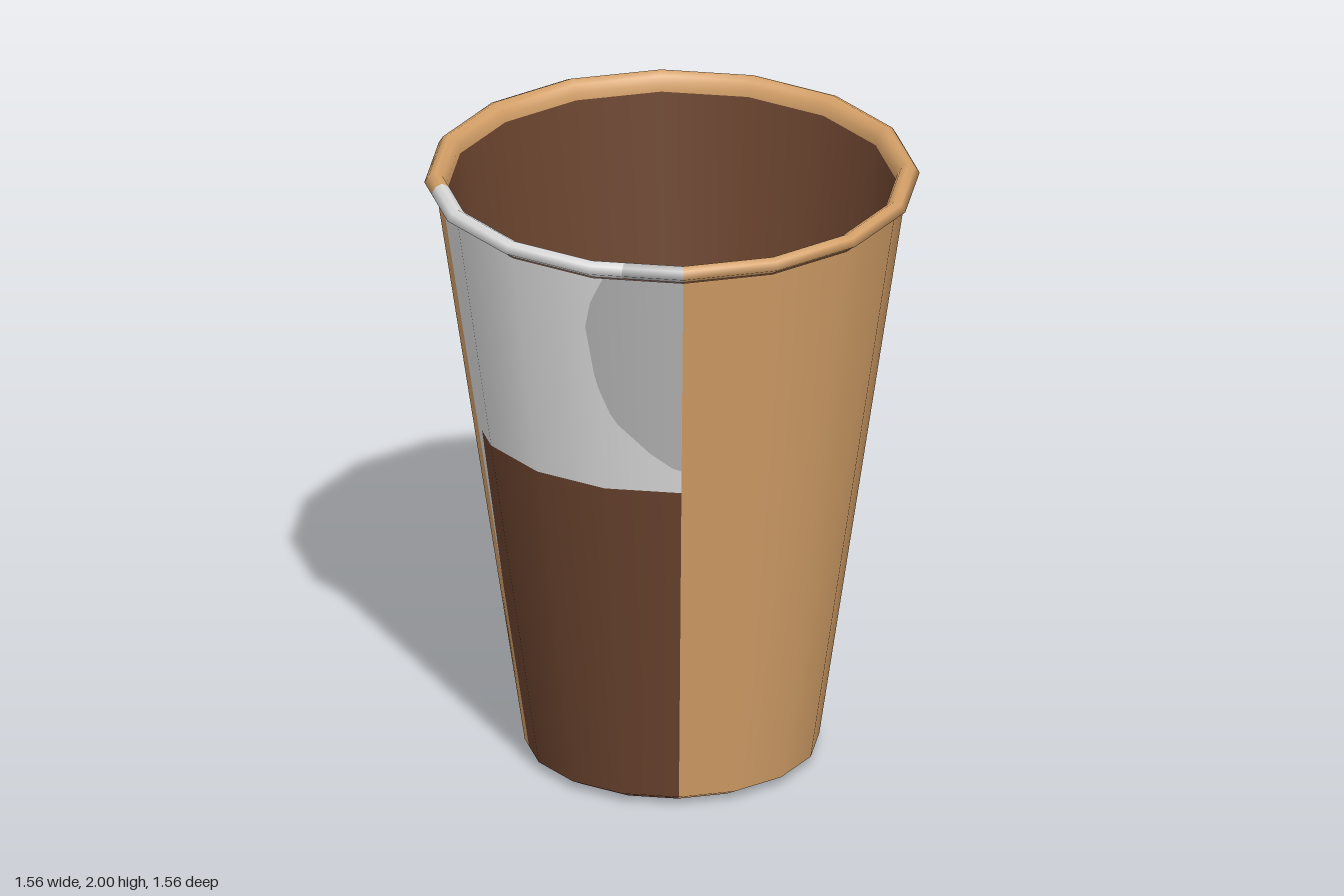
import * as THREE from 'three';

const mat = (name, color, side = THREE.FrontSide) => {
  const m = new THREE.MeshStandardMaterial({ color, side });
  m.name = name;
  return m;
};

const SIDES = 16;
const SEAM = -3.7; // painted panel runs from here to 0, counted in cup sides

// unit direction on the 16-sided outline, s counted in sides from the front
function outline(s) {
  const k = Math.floor(s), t = s - k, step = (Math.PI * 2) / SIDES;
  const a = k * step, b = (k + 1) * step;
  return [
    Math.sin(a) * (1 - t) + Math.sin(b) * t,
    Math.cos(a) * (1 - t) + Math.cos(b) * t,
  ];
}

// columns between two positions, keeping every cup corner and any extra stops
function columns(from, to, extra = []) {
  const set = new Set([from, to]);
  for (let i = Math.ceil(from); i <= to; i++) set.add(i);
  extra.forEach((e) => { if (e > from && e < to) set.add(e); });
  return [...set].sort((a, b) => a - b);
}

// surface through rows; each row is s => [radius, y, normal out, normal up]
function patch(cols, rows) {
  const pos = [], nor = [], idx = [], n = cols.length;
  rows.forEach((row, j) => cols.forEach((s, i) => {
    const [x, z] = outline(s), [r, y, nr, ny] = row(s);
    pos.push(x * r, y, z * r);
    const v = new THREE.Vector3(x * nr, ny, z * nr).normalize();
    nor.push(v.x, v.y, v.z);
    if (i < n - 1 && j < rows.length - 1) {
      const a = j * n + i, b = a + 1, c = b + n, d = a + n;
      idx.push(a, b, c, a, c, d);
    }
  }));
  const g = new THREE.BufferGeometry();
  g.setAttribute('position', new THREE.Float32BufferAttribute(pos, 3));
  g.setAttribute('normal', new THREE.Float32BufferAttribute(nor, 3));
  g.setIndex(idx);
  return g;
}

// rows from a radius/height profile with smooth normals
const profile = (pts) => pts.map(([r, y], i) => {
  const a = pts[Math.max(i - 1, 0)], b = pts[Math.min(i + 1, pts.length - 1)];
  return () => [r, y, b[1] - a[1], a[0] - b[0]];
});

// row lying on the tapered outer wall at height f(s)
const BASE = 0.03, TOP = 1.94;
const wallRow = (f) => (s) => {
  const y = f(s);
  return [0.465 + ((y - BASE) / (TOP - BASE)) * 0.28, y, 0.99, -0.15];
};

// piecewise linear height along s
const line = (pts) => (s) => {
  for (let i = 1; i < pts.length; i++) {
    const [s0, y0] = pts[i - 1], [s1, y1] = pts[i];
    if (s <= s1) return y0 + ((y1 - y0) * Math.max(s - s0, 0)) / (s1 - s0);
  }
  return pts[pts.length - 1][1];
};

export function createModel() {
  const cup = new THREE.Group();
  cup.name = 'cup';
  const tan = mat('tan paper', 0xd4a068);
  const brown = mat('dark brown', 0x6a432e);
  const light = mat('light grey', 0xdcdcdc);
  const dark = mat('mid grey', 0xb6b6b6);
  const add = (name, geometry, material) => {
    const m = new THREE.Mesh(geometry, material);
    m.name = name;
    cup.add(m);
  };

  const panelEnd = SIDES + SEAM;
  const base = () => BASE, top = () => TOP;

  // outer wall
  add('outerWall', patch(columns(0, panelEnd), [wallRow(base), wallRow(top)]), tan);

  // painted panel: brown below, grey above with a darker rounded patch
  const brownTop = line([[SEAM, 0.6], [-3.48, 1.16], [0, 1.16]]);
  const patchLow = [[-1.13, 1.75], [-1.05, 1.58], [-1, 1.53], [-0.88, 1.44],
    [-0.79, 1.4], [-0.4, 1.3], [-0.12, 1.25], [0, 1.24]];
  const patchHigh = [[-1.13, 1.75], [-1.05, 1.84], [-1, 1.87], [-0.88, TOP], [0, TOP]];
  const low = line(patchLow), high = line(patchHigh);
  const stops = patchLow.map((p) => p[0]);
  const patchCols = columns(-1.13, 0, stops);
  add('panelBrown', patch(columns(SEAM, 0, [-3.48]), [wallRow(base), wallRow(brownTop)]), brown);
  add('panelGrey', patch(columns(SEAM, -1.13, [-3.48]), [wallRow(brownTop), wallRow(top)]), light);
  add('panelGreyBelow', patch(patchCols, [wallRow(brownTop), wallRow(low)]), light);
  add('panelGreyAbove', patch(columns(-1.13, -0.88, stops), [wallRow(high), wallRow(top)]), light);
  add('panelPatch', patch(patchCols, [wallRow(low), wallRow(high)]), dark);

  // bevelled foot
  const foot = [() => [0.41, 0, 0.6, -0.8], () => [0.465, BASE, 0.99, -0.2]];
  add('foot', patch(columns(0, panelEnd), foot), tan);
  add('footBrown', patch(columns(SEAM, 0), foot), brown);

  // rolled rim
  const rim = profile([[0.74, 1.94], [0.782, 1.967], [0.768, 1.99], [0.747, 2],
    [0.725, 1.988], [0.712, 1.965], [0.71, 1.94]]);
  add('rim', patch(columns(0, panelEnd), rim), tan);
  add('rimGrey', patch(columns(SEAM, -0.65), rim), light);
  add('rimPatch', patch(columns(-0.65, 0), rim), dark);

  // inside, from the rim down to the floor
  const all = columns(0, SIDES);
  add('innerWall', patch(all, profile([[0.71, 1.94], [0.49, 0.36]])), brown);
  add('innerGreyBand', patch(all, profile([[0.49, 0.36], [0.45, 0.11]])), light);
  add('innerTanBand', patch(all, profile([[0.45, 0.11], [0.41, 0.015]])), tan);
  add('floor', patch(all, profile([[0.41, 0.015], [0, 0.015]])), light);

  // underside with a darker area and a small light spot near its edge
  add('underside', patch(all, profile([[0, 0.004], [0.413, 0.004]])), light);
  const plate = (shape, y) =>
    new THREE.ShapeGeometry(shape, 16).rotateX(Math.PI / 2).rotateY(Math.PI / 4).translate(0, y, 0);
  const shade = new THREE.Shape();
  shade.absarc(0, 0, 0.402, -0.07, Math.PI + 0.07, false);
  shade.quadraticCurveTo(0, 0.1, 0.401, -0.028);
  add('undersideShade', plate(shade, 0.002), dark);
  const spot = new THREE.Shape();
  spot.absarc(0, 0.4, 0.14, Math.PI + 0.18, Math.PI * 2 - 0.18, false);
  spot.quadraticCurveTo(0, 0.425, -0.138, 0.375);
  add('undersideSpot', plate(spot, 0), light);

  return cup;
}
